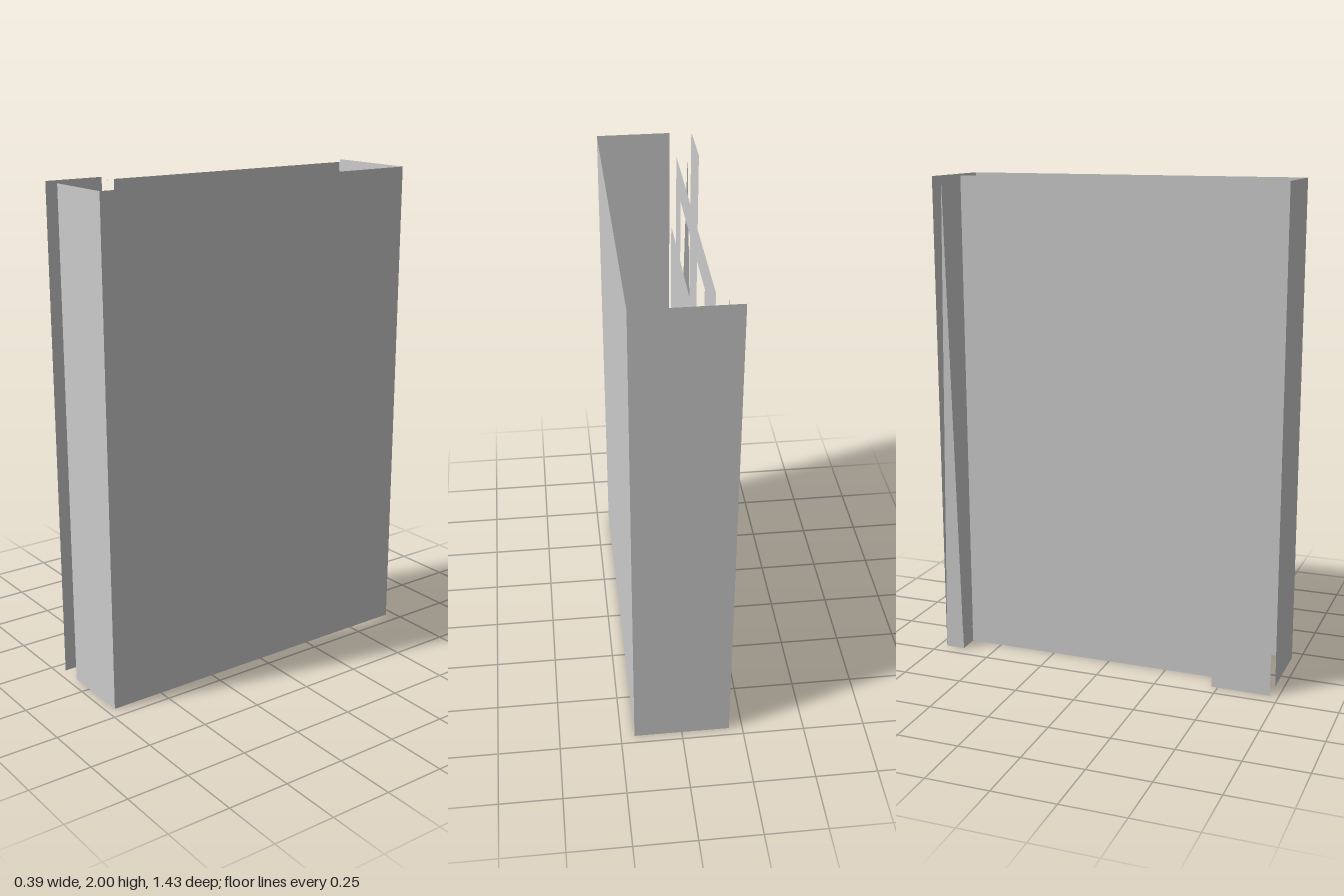
import * as THREE from 'three';

const material = new THREE.MeshStandardMaterial({ color: 0xcccccc, side: THREE.DoubleSide, flatShading: true });

const H = 2;            // height of the shell
const X = 0.195;        // half width
const Z = 0.715;        // half depth
const RECESS = -0.105;  // x of the set-back panel
const Z1 = 0.475, Z2 = -0.635; // front and back ends of the recess

export function createModel() {
  const group = new THREE.Group();

  const add = (name, geometry) => {
    const mesh = new THREE.Mesh(geometry, material);
    mesh.name = name;
    group.add(mesh);
    return mesh;
  };

  // Flat outline of [u, y] points, with an optional hole
  const sheet = (points, hole) => {
    const shape = new THREE.Shape(points.map(([u, y]) => new THREE.Vector2(u, y)));
    if (hole) shape.holes.push(new THREE.Path(hole.map(([u, y]) => new THREE.Vector2(u, y))));
    return new THREE.ShapeGeometry(shape);
  };
  const rect = (a, b, y0 = 0, y1 = H) => [[a, y0], [b, y0], [b, y1], [a, y1]];
  const spike = (a, b) => [[a, 0], [b, 0], [(a + b) / 2, H]];

  // Sheet across the width at a given z
  const acrossX = (name, z, points) => add(name, sheet(points).translate(0, 0, z));

  // Sheet along the depth at a given x, facing -x
  const alongZ = (name, x, points, hole) =>
    add(name, sheet(points, hole).rotateY(-Math.PI / 2).translate(x, 0, 0));

  // Outer shell, open at top and bottom
  alongZ('leftPanel', X, rect(-Z, Z)).geometry.scale(1, 1, 1);
  acrossX('frontPanel', Z, rect(RECESS, X));
  acrossX('backPanel', -Z, rect(-X, X));
  alongZ('frontStrip', -X, rect(Z1, Z));

  // Tapered fillers around the recess
  alongZ('backStrip', -X, spike(-Z, Z2));
  acrossX('frontRecessStep', Z1, spike(-X, RECESS));
  acrossX('backRecessStep', Z2, spike(-X, RECESS));

  // Set-back panel with its window opening
  alongZ('recessPanel', RECESS, rect(Z2, Z1), rect(-0.38, 0.324, 0.59, 1.874));

  // Loose plates in the window
  alongZ('windowPlate', -0.062, rect(-0.303, 0.27, 0.63, 1.8));
  alongZ('innerSmallPlate', -0.085, rect(-0.303, 0.007, 0.624, 0.85));
  alongZ('outerSmallPlate', -0.135, rect(-0.296, -0.006, 0.634, 0.835));

  return group;
}
